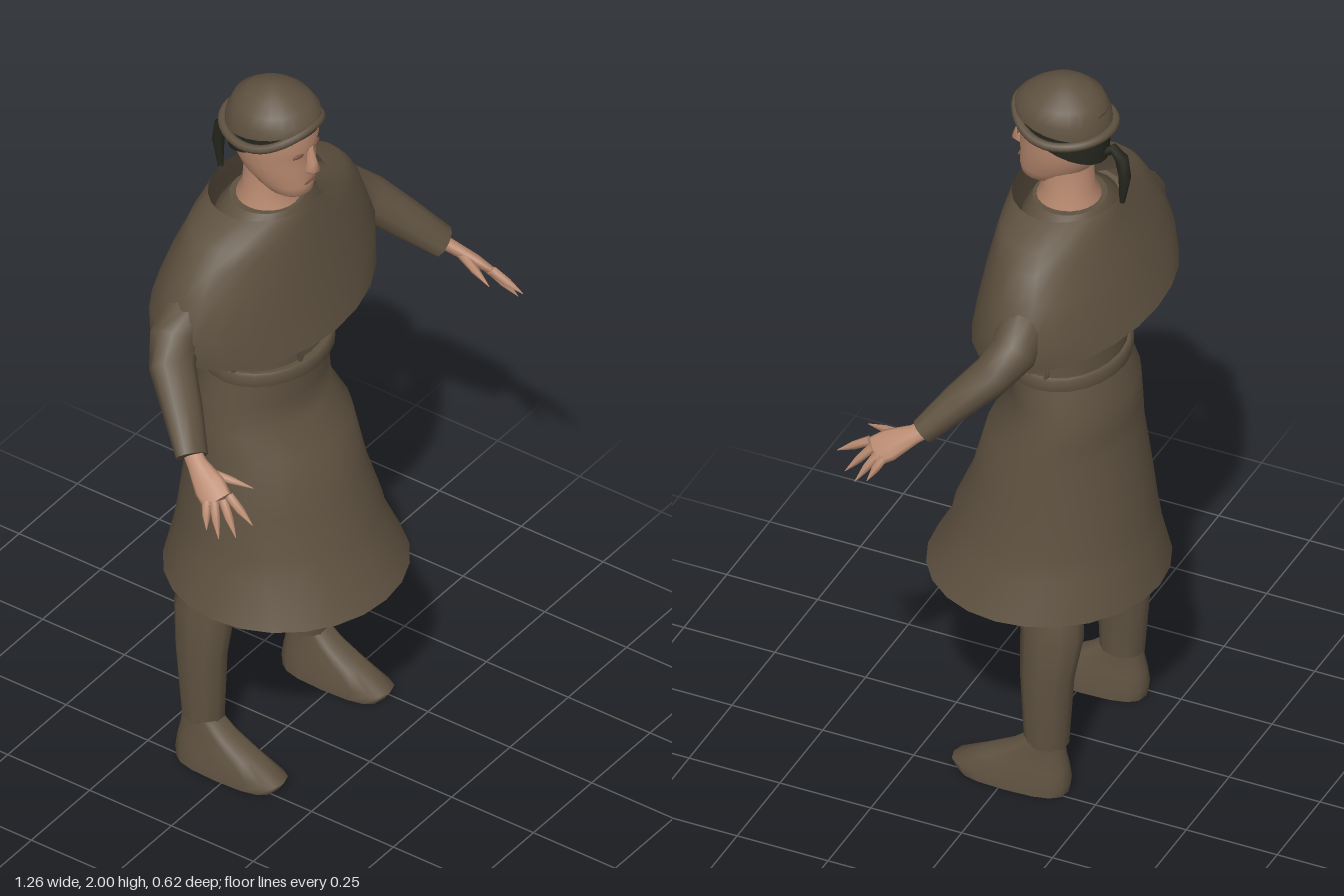
import * as THREE from 'three';

const mat = (name, color, side = THREE.FrontSide) => {
  const m = new THREE.MeshStandardMaterial({ color, side });
  m.name = name;
  return m;
};

// Skin a list of equal-length point rings into a smooth surface, optionally capped.
function skinRings(rings, cap = true) {
  const n = rings[0].length, pos = rings.flat(), idx = [];
  for (let i = 0; i < rings.length - 1; i++)
    for (let j = 0; j < n; j++) {
      const a = i * n + j, b = i * n + (j + 1) % n;
      idx.push(a, a + n, b, b, a + n, b + n);
    }
  if (cap)
    [[rings[0], 0], [rings[rings.length - 1], 1]].forEach(([ring, top]) => {
      const c = new THREE.Vector3();
      ring.forEach(p => c.addScaledVector(p, 1 / n));
      const s = pos.length;
      pos.push(...ring.map(p => p.clone()), c);
      for (let j = 0; j < n; j++) {
        const a = s + j, b = s + (j + 1) % n;
        if (top) idx.push(a, s + n, b); else idx.push(a, b, s + n);
      }
    });
  const g = new THREE.BufferGeometry().setFromPoints(pos);
  g.setIndex(idx);
  g.computeVertexNormals();
  return g;
}

// Upright body: rows of [y, half width, front z, back z, front/back tilt], listed upward.
function body(rows, { cap = true, n = 24, cx = 0, square = 1 } = {}) {
  const soft = v => Math.sign(v) * Math.abs(v) ** square;
  return skinRings(rows.map(([y, rx, f, b, tilt = 0]) =>
    Array.from({ length: n }, (_, j) => {
      const a = j / n * Math.PI * 2, s = Math.sin(a);
      return new THREE.Vector3(cx + rx * soft(Math.cos(a)), y + tilt * s,
        (f + b) / 2 + (f - b) / 2 * soft(s));
    })), cap);
}

// Limb: rows of [x, y, z, radius across, radius deep] along a path; ref sets the across axis.
function limb(rows, ref = [1, 0, 0], n = 10) {
  const pts = rows.map(r => new THREE.Vector3(r[0], r[1], r[2]));
  return skinRings(rows.map((r, i) => {
    const d = pts[Math.min(i + 1, pts.length - 1)].clone().sub(pts[Math.max(i - 1, 0)]).normalize();
    const u = new THREE.Vector3(...ref);
    u.addScaledVector(d, -u.dot(d)).normalize();
    const v = u.clone().cross(d);
    return Array.from({ length: n }, (_, j) => {
      const a = j / n * Math.PI * 2;
      return pts[i].clone().addScaledVector(u, r[3] * Math.cos(a))
        .addScaledVector(v, (r[4] ?? r[3]) * Math.sin(a));
    });
  }));
}

export function createModel() {
  const cloth = mat('brown cloth', 0x5e5140, THREE.DoubleSide);
  const skin = mat('skin', 0xb98a70);
  const hair = mat('dark hair', 0x25261d, THREE.DoubleSide);
  const shade = mat('eye and lip', 0x7d5445);
  const model = new THREE.Group();
  const add = (name, geo, material, parent = model) => {
    const m = new THREE.Mesh(geo, material);
    m.name = name;
    parent.add(m);
    return m;
  };

  // Clothing
  add('skirt', body([
    [.53, .317, .30, -.31], [.64, .277, .24, -.285], [.70, .262, .228, -.277],
    [.81, .245, .18, -.262], [.96, .223, .14, -.24], [1.02, .212, .072, -.235],
    [1.10, .2, .07, -.232], [1.19, .18, .07, -.2]], { cap: false }), cloth);
  add('torso', body([
    [1.15, .182, .072, -.2], [1.25, .175, .07, -.2], [1.4, .168, .065, -.195],
    [1.56, .17, .06, -.19], [1.62, .155, .05, -.18], [1.655, .1, .03, -.155]]), cloth);
  add('belt', body([
    [1.17, .183, .086, -.208], [1.175, .192, .094, -.214],
    [1.205, .19, .094, -.214], [1.21, .182, .086, -.206]]), cloth);
  add('cape', body([
    [1.348, .372, .15, -.305, -.033], [1.43, .388, .128, -.28, -.02], [1.53, .347, .107, -.25, -.006],
    [1.6, .302, .092, -.224], [1.64, .262, .085, -.212], [1.68, .17, .077, -.2]], { cap: false }), cloth);
  const flap = new THREE.Shape([[-.09, 1.33], [-.05, 1.2], [.035, 1.33]].map(p => new THREE.Vector2(...p)));
  add('shirtFlap', new THREE.ExtrudeGeometry(flap, { depth: .006, bevelEnabled: false }), cloth)
    .position.z = .07;

  // Head
  add('neck', body([
    [1.6, .09, .035, -.15], [1.66, .082, .02, -.14], [1.69, .068, .008, -.125], [1.76, .066, .01, -.12]]), skin);
  add('face', body([
    [1.695, .036, .05, -.03], [1.71, .055, .066, -.06], [1.735, .069, .07, -.1], [1.765, .08, .068, -.128],
    [1.8, .09, .068, -.146], [1.835, .094, .067, -.155], [1.87, .098, .076, -.158], [1.93, .098, .068, -.155]]), skin);
  add('nose', body([
    [1.773, .012, .074, .05], [1.785, .019, .097, .05], [1.81, .012, .088, .05], [1.85, .008, .076, .05]], { n: 8 }), skin);
  const facePatch = (name, x, y, z, w, h) => {
    const m = add(name, new THREE.SphereGeometry(1, 10, 6), shade);
    m.position.set(x, y, z);
    m.scale.set(w, h, .004);
    m.rotation.y = x * 8;
  };
  facePatch('leftEye', .04, 1.839, .06, .018, .006);
  facePatch('rightEye', -.04, 1.839, .06, .018, .006);
  facePatch('mouth', 0, 1.747, .069, .026, .004);
  add('hair', body([
    [1.845, .101, .079, -.163, .055], [1.885, .105, .08, -.166, .025], [1.93, .102, .074, -.16]], { cap: false }), hair);
  add('ponytail', limb([
    [0, 1.8, -.15, .01], [0, 1.825, -.182, .014], [0, 1.8, -.205, .018],
    [0, 1.75, -.213, .016], [0, 1.67, -.206, .007]]), hair);

  // Helmet with a rolled rim that rises over the brow
  add('helmet', body([
    [1.895, .113, .081, -.172, .022], [1.925, .11, .077, -.167, .012], [1.957, .093, .055, -.147],
    [1.982, .062, .018, -.112], [1.996, .028, -.019, -.075], [2, .008, -.039, -.055]]), cloth);
  const rim = new THREE.CatmullRomCurve3(Array.from({ length: 16 }, (_, i) => {
    const a = i / 16 * Math.PI * 2, s = Math.sin(a);
    return new THREE.Vector3(.116 * Math.cos(a), 1.87 + (s > 0 ? .048 : .012) * s * s, -.05 + .126 * s);
  }), true);
  add('helmetRim', new THREE.TubeGeometry(rim, 40, .012, 8, true), cloth);

  // Arms, hands and legs, mirrored
  for (const s of [1, -1]) {
    const side = s > 0 ? 'left' : 'right';
    const arm = new THREE.Group();
    arm.name = side + 'Arm';
    const leg = new THREE.Group();
    leg.name = side + 'Leg';
    model.add(arm, leg);
    const flip = rows => rows.map(([x, ...r]) => [s * x, ...r]);

    add('sleeve', limb(flip([
      [.15, 1.56, -.08, .06], [.3, 1.475, -.085, .062], [.375, 1.415, -.083, .064, .062],
      [.425, 1.37, -.05, .062, .054], [.48, 1.3, .02, .054, .046], [.538, 1.225, .09, .045, .034]])), cloth, arm);

    const across = [s * .4, -.3, -.87];
    add('palm', limb(flip([
      [.52, 1.245, .065, .024, .02], [.545, 1.215, .11, .026, .018],
      [.568, 1.182, .165, .042, .016], [.582, 1.16, .2, .04, .011]]), across), skin, arm);
    // Finger rows: base, then tip
    [[[.565, 1.175, .222], [.58, 1.13, .305]], [[.575, 1.165, .21], [.605, 1.092, .272]],
      [[.586, 1.158, .19], [.627, 1.085, .235]], [[.592, 1.155, .172], [.63, 1.1, .2]],
      [[.545, 1.205, .14], [.505, 1.177, .255]]].forEach(([b, t], i) =>
      add(i < 4 ? 'finger' : 'thumb', limb(flip([
        [...b, .013], [...b.map((v, k) => v + (t[k] - v) * .5), .011], [...t, .001]]), across, 6), skin, arm));

    add('trouserLeg', limb(flip([
      [.1, 1.0, -.08, .085, .09], [.15, .75, -.09, .08, .088], [.193, .48, -.1, .066, .078]])), cloth, leg);
    add('bootShaft', limb(flip([
      [.194, .505, -.102, .07, .083], [.205, .455, -.11, .068, .082],
      [.224, .34, -.105, .06, .07], [.221, .135, -.102, .049, .058]])), cloth, leg);
    add('foot', body([
      [0, .06, .13, -.165], [.03, .058, .15, -.17], [.07, .047, .07, -.165],
      [.11, .04, -.005, -.155], [.145, .037, -.05, -.15]], { cx: s * .228, square: .7, n: 16 }), cloth, leg);

    const loop = add(side + 'BeltLoop', new THREE.TorusGeometry(.026, .005, 6, 14), cloth);
    loop.position.set(s * .18, 1.225, -.06);
    loop.rotation.y = Math.PI / 2;
  }
  return model;
}
